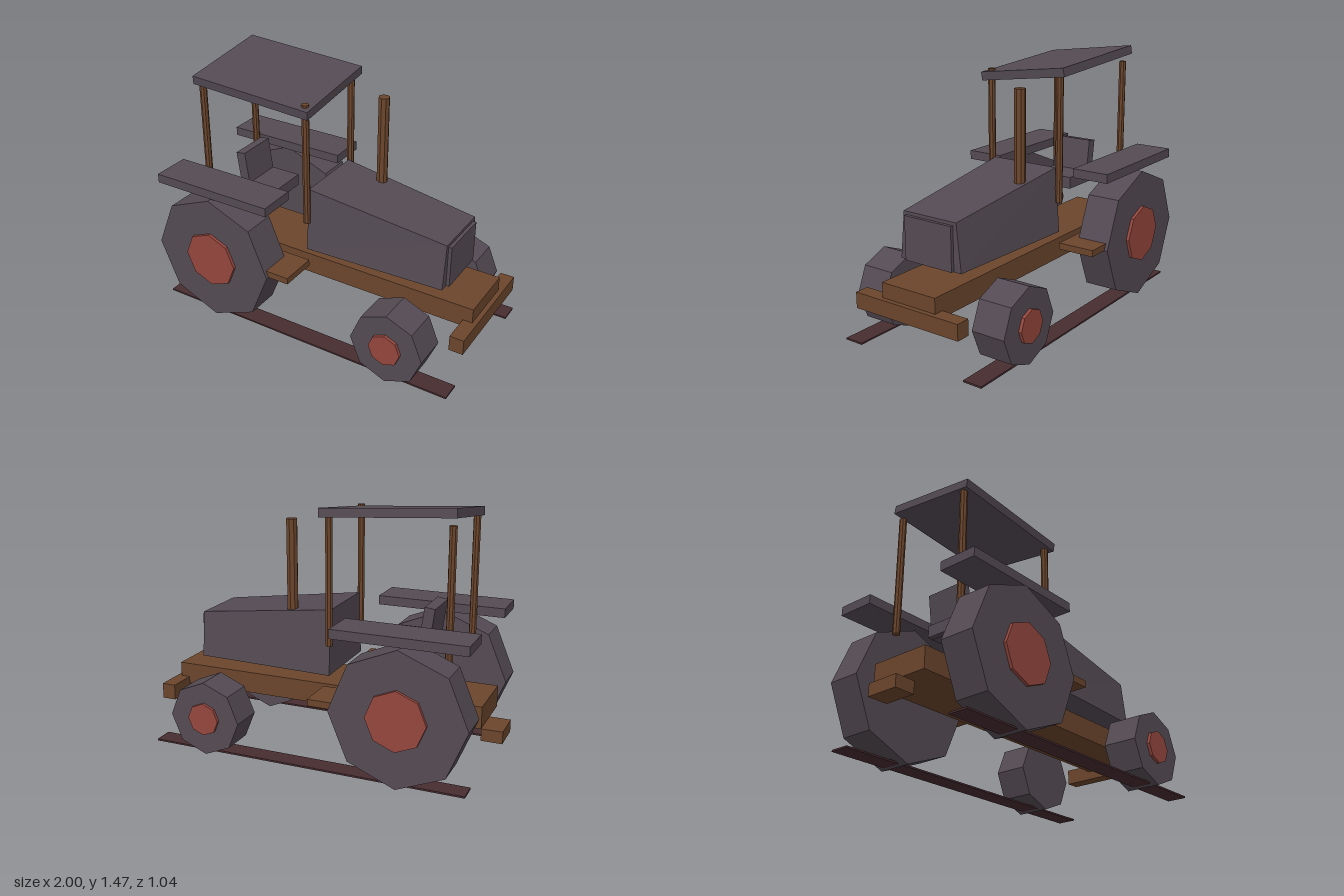
import * as THREE from 'three';

export function createModel() {
  const model = new THREE.Group();
  model.name = 'tractor';

  const paint = (name, color) => {
    const m = new THREE.MeshStandardMaterial({ color, flatShading: true });
    m.name = name;
    return m;
  };
  const grey = paint('charcoal grey', 0x544a53);
  const brown = paint('rusty brown', 0x6b452c);
  const red = paint('hub red', 0x94463d);
  const maroon = paint('dark maroon', 0x472c30);

  const add = (name, geometry, material) => {
    const mesh = new THREE.Mesh(geometry, material);
    mesh.name = name;
    model.add(mesh);
    return mesh;
  };
  // Box given by its extents
  const box = (name, material, x0, x1, y0, y1, z0, z1) => {
    const mesh = add(name, new THREE.BoxGeometry(x1 - x0, y1 - y0, z1 - z0), material);
    mesh.position.set((x0 + x1) / 2, (y0 + y1) / 2, (z0 + z1) / 2);
    return mesh;
  };
  // Upright round bar
  const bar = (name, x, z, r, y0, y1) => {
    const mesh = add(name, new THREE.CylinderGeometry(r, r, y1 - y0, 8), brown);
    mesh.position.set(x, (y0 + y1) / 2, z);
  };
  // Octagonal disc with its axle along z
  const disc = (name, material, x, y, r, z0, z1) => {
    const geometry = new THREE.CylinderGeometry(r, r, Math.abs(z1 - z0), 8).rotateX(Math.PI / 2);
    add(name, geometry, material).position.set(x, y, (z0 + z1) / 2);
  };

  // Frame, front beam and rear hitch
  box('chassis', brown, -0.9, 0.97, 0.285, 0.41, -0.178, 0.178);
  box('frontBeam', brown, 0.915, 0.997, 0.235, 0.325, -0.343, 0.343);
  box('hitch', brown, -1, -0.88, 0.18, 0.25, -0.095, 0.095);

  // Hood: a box narrowed towards its top and nose, with a sloping top
  const hood = new THREE.BoxGeometry(1, 1, 1);
  const p = hood.attributes.position;
  for (let i = 0; i < p.count; i++) {
    const nose = p.getX(i) > 0, top = p.getY(i) > 0;
    const half = (nose ? 0.203 : 0.24) - (top ? 0.028 : 0);
    p.setXYZ(i, nose ? 0.793 : -0.04, top ? (nose ? 0.75 : 0.86) : 0.485, Math.sign(p.getZ(i)) * half);
  }
  hood.computeVertexNormals();
  add('hood', hood, grey);
  box('grille', grey, 0.78, 0.812, 0.487, 0.732, -0.155, 0.155);
  bar('exhaust', 0.22, -0.152, 0.032, 0.82, 1.34);

  // Seat
  box('seatCushion', grey, -0.6, -0.335, 0.65, 0.72, -0.12, 0.12);
  box('seatBack', grey, -0.59, -0.53, 0.65, 0.905, -0.12, 0.12).rotation.z = 0.14;

  // Tilted roof on four posts
  const roof = add('roof', new THREE.BoxGeometry(0.755, 0.05, 0.565), grey);
  roof.position.set(-0.377, 1.393, 0);
  roof.rotation.set(0.126, 0, -0.06);
  for (const x of [-0.725, -0.04])
    for (const z of [-0.235, 0.235]) bar('roofPost', x, z, 0.021, 0.66, 1.38);

  // Parts mirrored on both sides
  for (const s of [-1, 1]) {
    box('fender', grey, -0.9, -0.145, 0.785, 0.838, ...[0.26 * s, 0.485 * s].sort((a, b) => a - b));
    box('step', brown, -0.25, -0.015, 0.39, 0.428, ...[0.258 * s, 0.48 * s].sort((a, b) => a - b));
    box('groundStrip', maroon, -0.9, 0.972, 0.01, 0.02, ...[0.35 * s, 0.463 * s].sort((a, b) => a - b));
    disc('rearWheel', grey, -0.53, 0.39, 0.387, 0.3 * s, 0.5 * s);
    disc('rearHub', red, -0.53, 0.393, 0.17, 0.5 * s, 0.518 * s);
    disc('frontWheel', grey, 0.62, 0.218, 0.216, 0.3 * s, 0.5 * s);
    disc('frontHub', red, 0.62, 0.22, 0.095, 0.5 * s, 0.518 * s);
  }
  return model;
}
